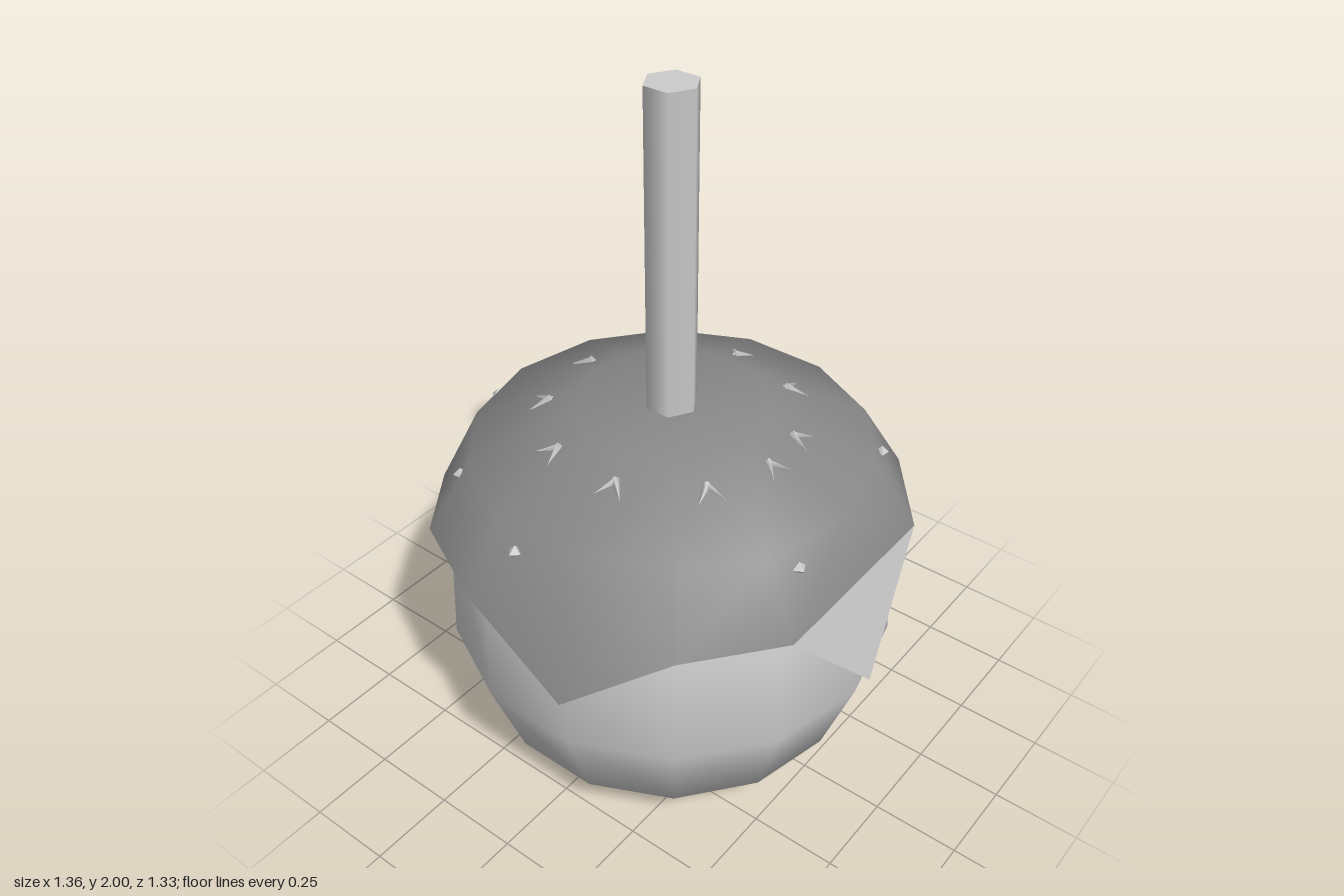
import * as THREE from 'three';

const SIDES = 14;
const STEP = (Math.PI * 2) / SIDES;
const plain = () => new THREE.MeshStandardMaterial({ color: 0xcccccc, side: THREE.DoubleSide });
const coating = () => new THREE.MeshStandardMaterial({ color: 0x888888, side: THREE.DoubleSide });

function addMesh(parent, name, geometry, material) {
  const mesh = new THREE.Mesh(geometry, material);
  mesh.name = name;
  parent.add(mesh);
  return mesh;
}

// Point on the cap at corner i (corner 0 lies on +x, counting towards +z)
const corner = (i, r, y) => [r * Math.cos(i * STEP), y, r * Math.sin(i * STEP)];

// Coating: rings from the crown down to a rim whose corners drip by different amounts
function capGeometry() {
  const rimY = Array(SIDES).fill(0.785);
  rimY[3] = 0.58; // front drip
  rimY[11] = 0.58; // back drip
  rimY[6] = rimY[8] = 0.74;
  const pos = [0, 1.095, 0];
  for (let i = 0; i < SIDES; i++) {
    pos.push(...corner(i, 0.27, 1.095), ...corner(i, 0.56, 0.98), ...corner(i, 0.68, rimY[i]));
  }
  const id = (i, ring) => 1 + (i % SIDES) * 3 + ring;
  const index = [];
  for (let i = 0; i < SIDES; i++) {
    const j = i + 1;
    index.push(0, id(j, 0), id(i, 0));
    index.push(id(i, 0), id(j, 0), id(j, 1), id(i, 0), id(j, 1), id(i, 1));
    // beside corner 0 the rim is cut straight across
    if (i === 0) index.push(id(0, 1), id(1, 1), id(1, 2));
    else if (i === SIDES - 1) index.push(id(i, 1), id(0, 1), id(i, 2));
    else index.push(id(i, 1), id(j, 1), id(j, 2), id(i, 1), id(j, 2), id(i, 2));
  }
  index.push(id(0, 1), id(1, 2), id(SIDES - 1, 2));
  const g = new THREE.BufferGeometry();
  g.setAttribute('position', new THREE.Float32BufferAttribute(pos, 3));
  g.setIndex(index);
  g.computeVertexNormals();
  return g;
}

// Loose pointed flap hanging from the straight rim on +x
function flapGeometry() {
  const g = new THREE.BufferGeometry();
  const pos = [...corner(1, 0.68, 0.785), ...corner(-1, 0.68, 0.785), 0.68, 0.47, 0];
  g.setAttribute('position', new THREE.Float32BufferAttribute(pos, 3));
  g.setIndex([0, 2, 1]);
  g.computeVertexNormals();
  return g;
}

// V-shaped crumb with its point towards the stem
function addCrumb(parent, angle) {
  const crumb = new THREE.Group();
  crumb.name = 'crownCrumb';
  for (const s of [-1, 1]) {
    const arm = addMesh(crumb, 'crumbArm', new THREE.ConeGeometry(0.012, 0.07, 4), plain());
    arm.rotation.z = -Math.PI / 2; // lies outwards
    const pivot = new THREE.Group();
    pivot.name = 'armPivot';
    arm.position.x = 0.03;
    pivot.rotation.y = s * 0.6;
    pivot.add(arm);
    crumb.add(pivot);
  }
  const turn = new THREE.Group();
  turn.name = 'crumbTurn';
  crumb.position.set(0.34, 1.067, 0);
  crumb.rotation.z = -0.37; // follows the slope of the cap
  turn.rotation.y = -angle;
  turn.add(crumb);
  parent.add(turn);
}

export function createModel() {
  const model = new THREE.Group();
  model.name = 'coatedApple';

  // Apple
  const profile = [[0, 0], [0.27, 0], [0.545, 0.135], [0.64, 0.4], [0.625, 0.74], [0.53, 0.95], [0.25, 1.06], [0, 1.06]]
    .map(([r, y]) => new THREE.Vector2(r, y));
  addMesh(model, 'apple', new THREE.LatheGeometry(profile, SIDES, Math.PI / 2), plain());

  // Coating
  addMesh(model, 'coating', capGeometry(), coating());
  addMesh(model, 'coatingFlap', flapGeometry(), plain());

  // Stick
  const stick = addMesh(model, 'stick', new THREE.CylinderGeometry(0.073, 0.073, 0.95, 6), plain());
  stick.position.y = 1.525;
  stick.rotation.y = Math.PI / 6;

  // Crumbs: a ring on the crown and a sparser ring on the shoulder
  const crumbs = new THREE.Group();
  crumbs.name = 'crumbs';
  model.add(crumbs);
  for (const deg of [5, 37, 77, 113, 152, 190, 227, 265, 302, 341]) {
    addCrumb(crumbs, THREE.MathUtils.degToRad(deg));
  }
  for (const deg of [19, 95, 132, 171, 208, 246, 284, 322]) {
    const a = THREE.MathUtils.degToRad(deg);
    const bit = addMesh(crumbs, 'shoulderCrumb', new THREE.OctahedronGeometry(0.02), plain());
    bit.position.set(0.58 * Math.cos(a), 0.93, 0.58 * Math.sin(a));
    bit.rotation.y = -a;
  }
  return model;
}
